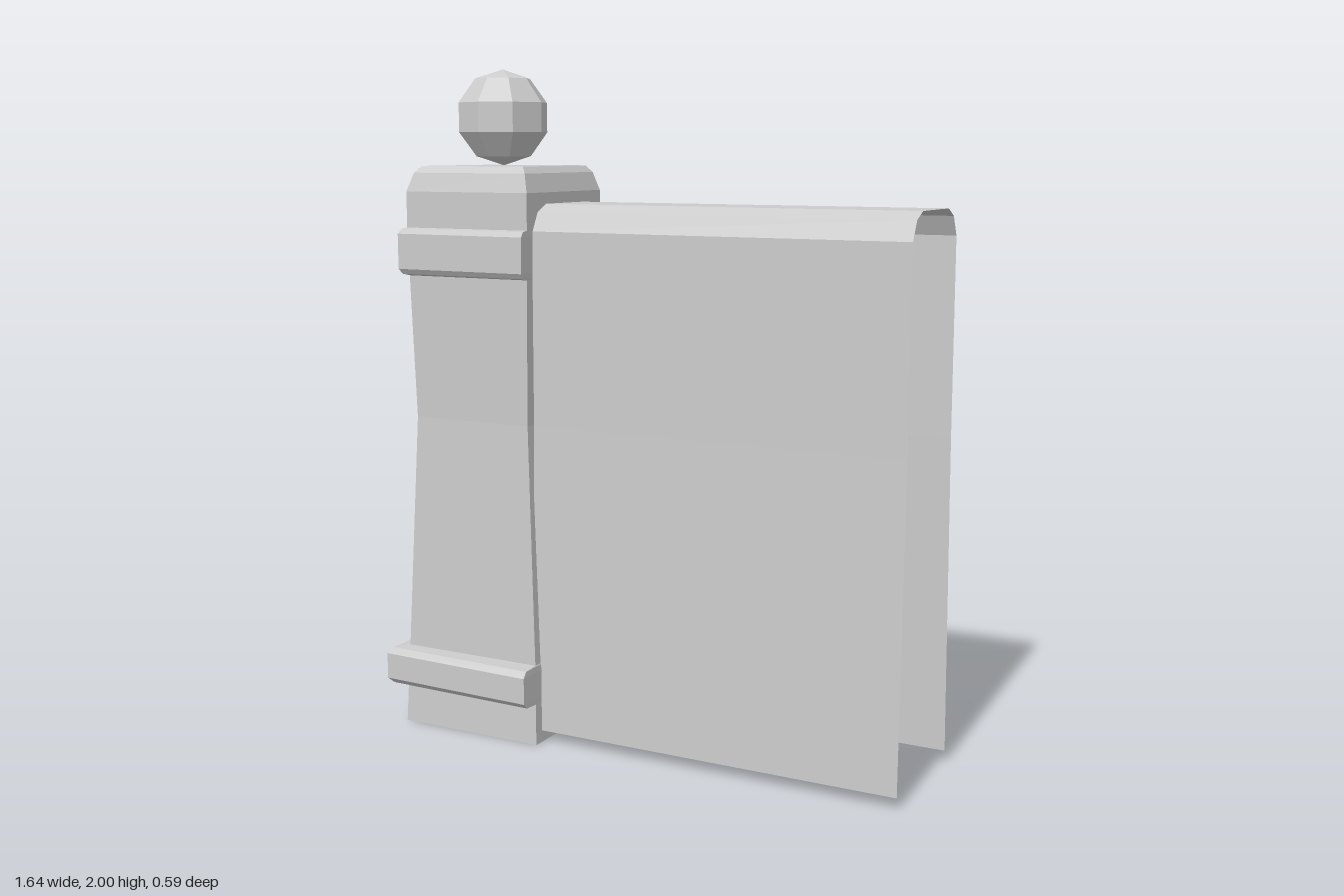
import * as THREE from 'three';

const material = new THREE.MeshStandardMaterial({
  color: 0xcccccc, flatShading: true, side: THREE.DoubleSide,
});

function makeMesh(geometry, name) {
  const mesh = new THREE.Mesh(geometry, material);
  mesh.name = name;
  return mesh;
}

// Skins a strip of quads through cross-sections that share a point count
function loft(sections, closed, capTop) {
  const n = sections[0].length;
  const index = [];
  for (let i = 0; i < sections.length - 1; i++) {
    for (let j = 0; j < (closed ? n : n - 1); j++) {
      const a = i * n + j, b = i * n + (j + 1) % n;
      index.push(a, b, b + n, a, b + n, a + n);
    }
  }
  if (capTop) {
    const s = (sections.length - 1) * n;
    for (let j = 1; j < n - 1; j++) index.push(s, s + j, s + j + 1);
  }
  const geometry = new THREE.BufferGeometry();
  geometry.setAttribute('position', new THREE.Float32BufferAttribute(sections.flat(2), 3));
  geometry.setIndex(index);
  const flat = geometry.toNonIndexed();
  flat.computeVertexNormals();
  return flat;
}

// Hollow square post; the bands swell on three sides and stay flush on the wall side
function createPost() {
  // height, left x, right x, half depth at left, half depth at right
  const levels = [
    [0, -0.78, -0.305, 0.237, 0.237],
    [0.125, -0.775, -0.308, 0.232, 0.232],
    [0.127, -0.805, -0.308, 0.265, 0.28],
    [0.143, -0.82, -0.308, 0.278, 0.296],
    [0.222, -0.82, -0.309, 0.278, 0.296],
    [0.24, -0.805, -0.31, 0.265, 0.28],
    [0.243, -0.77, -0.312, 0.226, 0.226],
    [0.96, -0.74, -0.345, 0.2, 0.2],
    [1.39, -0.753, -0.337, 0.206, 0.206],
    [1.395, -0.768, -0.336, 0.22, 0.23],
    [1.41, -0.776, -0.335, 0.23, 0.24],
    [1.515, -0.776, -0.333, 0.23, 0.24],
    [1.53, -0.768, -0.333, 0.22, 0.23],
    [1.533, -0.756, -0.333, 0.209, 0.209],
    [1.64, -0.756, -0.332, 0.209, 0.209],
    [1.695, -0.738, -0.348, 0.193, 0.193],
    [1.715, -0.72, -0.364, 0.177, 0.177],
  ];
  const rings = levels.map(([y, xl, xr, zl, zr]) => [
    [xl, y, zl], [xr, y, zr], [xr, y, -zr], [xl, y, -zl],
  ]);
  return makeMesh(loft(rings, true, true), 'post');
}

// Wall shell, open at the bottom and at its ends
function createWall() {
  const half = [[0.202, 0.035], [0.18, 0.96], [0.178, 1.53], [0.15, 1.585], [0.105, 1.607]];
  const profile = [...half, ...half.map(([z, y]) => [-z, y]).reverse()];
  const sections = profile.map(([z, y]) => [[-0.335, y, z], [0.82, y, z]]);
  return makeMesh(loft(sections, false, false), 'wall');
}

export function createModel() {
  const model = new THREE.Group();
  model.name = 'wallSectionWithPost';
  model.add(createPost(), createWall());

  // Faceted ball finial
  const ball = makeMesh(new THREE.SphereGeometry(0.142, 8, 5), 'ballFinial');
  ball.position.set(-0.545, 1.858, 0);
  model.add(ball);
  return model;
}
